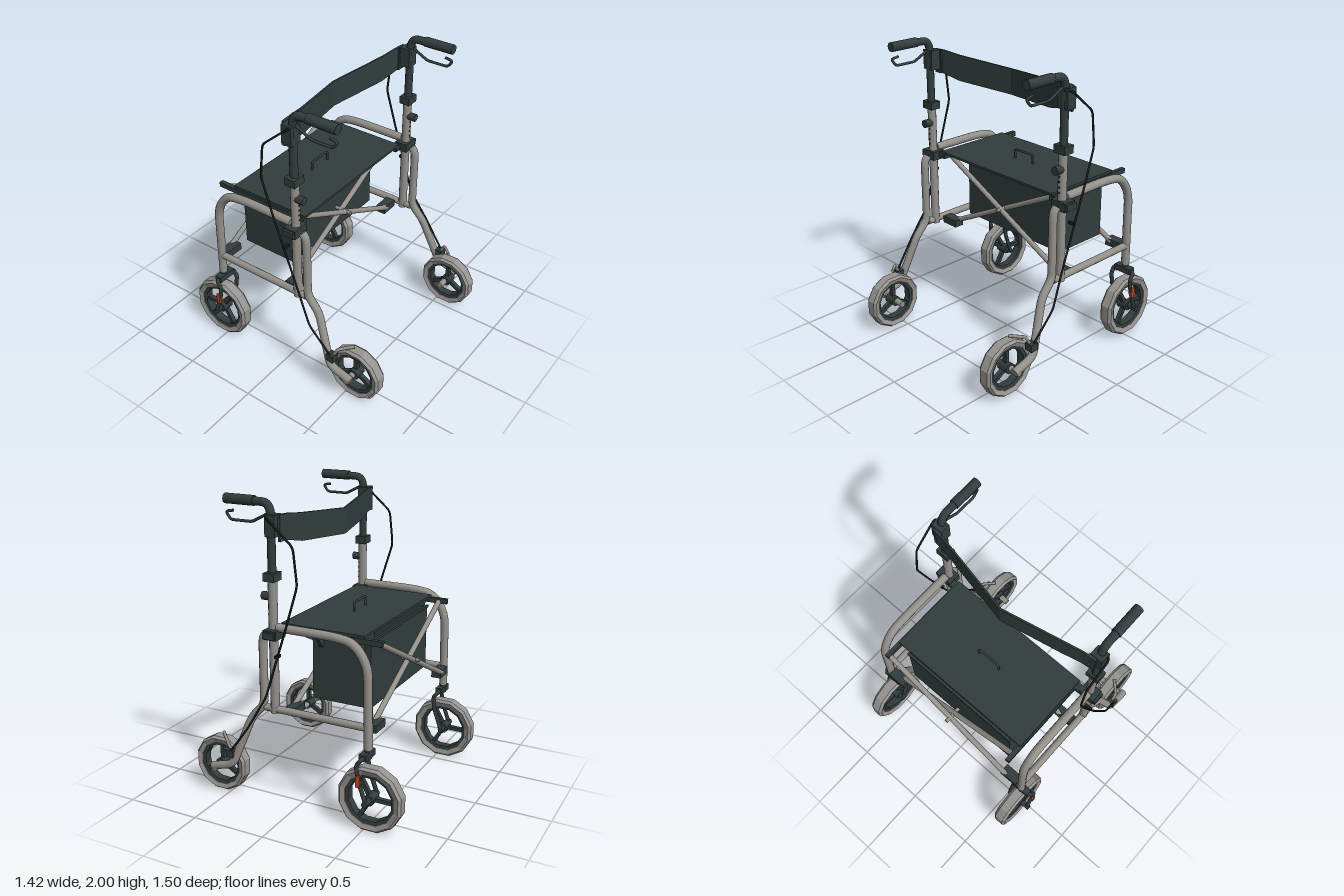
import * as THREE from 'three';
import { mergeGeometries } from 'three/addons/utils/BufferGeometryUtils.js';

const mat = (name, color, side = THREE.FrontSide) => {
  const m = new THREE.MeshStandardMaterial({ color, side });
  m.name = name;
  return m;
};

export function createModel() {
  const metal = mat('grey metal', 0x94918b);
  const tyreGrey = mat('tyre grey', 0x979591);
  const dark = mat('dark plastic', 0x323d3d, THREE.DoubleSide);
  const black = mat('cable black', 0x191d1e);
  const red = mat('red reflector', 0xc8451f);

  const model = new THREE.Group();
  model.name = 'rollator';

  const add = (name, geo, material, x = 0, y = 0, z = 0, parent = model) => {
    const mesh = new THREE.Mesh(geo, material);
    mesh.name = name;
    mesh.position.set(x, y, z);
    parent.add(mesh);
    return mesh;
  };
  const box = (name, material, [w, h, d], [x, y, z], parent) =>
    add(name, new THREE.BoxGeometry(w, h, d), material, x, y, z, parent);

  // Capped tube along a polyline whose corners are rounded by the given bend
  const tube = (name, material, points, r, bend = 0.03, parent = model, sides = 12) => {
    const p = points.map((a) => new THREE.Vector3(...a));
    const path = new THREE.CurvePath();
    let from = p[0];
    for (let i = 1; i < p.length - 1; i++) {
      const toward = (q) => {
        const d = q.clone().sub(p[i]);
        return d.clone().setLength(Math.min(bend, d.length() * 0.45)).add(p[i]);
      };
      const a = toward(p[i - 1]), b = toward(p[i + 1]);
      path.add(new THREE.LineCurve3(from, a));
      path.add(new THREE.QuadraticBezierCurve3(a, p[i], b));
      from = b;
    }
    path.add(new THREE.LineCurve3(from, p[p.length - 1]));
    const parts = [new THREE.TubeGeometry(path, p.length > 2 ? 14 * p.length : 1, r, sides)];
    for (const t of [0, 1]) {
      const cap = new THREE.CircleGeometry(r, sides);
      const dir = path.getTangentAt(t).multiplyScalar(t ? 1 : -1);
      cap.applyQuaternion(new THREE.Quaternion().setFromUnitVectors(new THREE.Vector3(0, 0, 1), dir));
      const e = path.getPointAt(t);
      cap.translate(e.x, e.y, e.z);
      parts.push(cap);
    }
    return add(name, mergeGeometries(parts), material, 0, 0, 0, parent);
  };

  // Faceted ring turned around the x axis from a closed (radius, x) profile
  const ring = (profile) => {
    const pts = [...profile, profile[0]].map(([r, x]) => new THREE.Vector2(r, x));
    const g = new THREE.LatheGeometry(pts, 12).toNonIndexed();
    g.computeVertexNormals();
    return g.rotateZ(-Math.PI / 2).rotateX(Math.PI / 12);
  };

  const wheel = (name, R, x, y, z, spokeStart) => {
    const g = new THREE.Group();
    g.name = name;
    g.position.set(x, y, z);
    model.add(g);
    const i = R * 0.78, h = 0.047;
    add('tyre', ring([[i, -0.036], [R * 0.93, -h], [R, -0.03], [R, 0.03], [R * 0.93, h], [i, 0.036]]), tyreGrey, 0, 0, 0, g);
    add('rim', ring([[i - 0.022, -0.027], [i + 0.006, -0.032], [i + 0.006, 0.032], [i - 0.022, 0.027]]), dark, 0, 0, 0, g);
    add('hub', new THREE.CylinderGeometry(0.036, 0.036, 0.08, 12).rotateZ(Math.PI / 2), dark, 0, 0, 0, g);
    for (let k = 0; k < 3; k++) {
      const spoke = new THREE.BoxGeometry(0.03, i - 0.01, 0.026).translate(0, (i - 0.01) / 2, 0);
      add('spoke', spoke, dark, 0, 0, 0, g).rotation.x = spokeStart + (k * Math.PI * 2) / 3;
    }
  };

  for (const s of [1, -1]) {
    const at = (x, y, z) => [s * x, y, z];

    // Handle, grip and brake lever
    tube('handlePost', dark, [at(0.61, 1.5, 0.13), at(0.61, 1.965, 0.13), at(0.61, 1.968, 0.26)], 0.026, 0.08);
    tube('grip', dark, [at(0.61, 1.969, 0.24), at(0.61, 1.969, 0.445)], 0.032);
    tube('brakeLever', dark, [at(0.61, 1.9, 0.39), at(0.61, 1.89, 0.445), at(0.61, 1.843, 0.41),
      at(0.61, 1.843, 0.26), at(0.61, 1.9, 0.15)], 0.009, 0.02, model, 8);
    box('backrestBracket', dark, [0.085, 0.13, 0.07], at(0.61, 1.835, 0.115));
    box('backrestEnd', dark, [0.06, 0.16, 0.016], at(0.59, 1.82, 0.07));

    // Adjustable post
    box('postCollar', dark, [0.092, 0.052, 0.075], at(0.61, 1.525, 0.13));
    tube('post', metal, [at(0.608, 1.51, 0.13), at(0.608, 0.65, 0.13)], 0.029);
    tube('heightKnob', dark, [at(0.608, 1.4, 0.14), at(0.608, 1.4, 0.2)], 0.027);
    for (let k = 0; k < 4; k++)
      tube('heightHole', dark, [at(0.608, 1.25 + k * 0.035, 0.15), at(0.608, 1.25 + k * 0.035, 0.162)], 0.007, 0, model, 8);

    // Side frame
    box('frameClamp', dark, [0.115, 0.06, 0.09], at(0.612, 1.17, 0.125));
    box('clampEnd', dark, [0.05, 0.042, 0.08], at(0.66, 1.17, 0.125));
    box('clampArm', dark, [0.08, 0.036, 0.05], at(0.535, 1.175, 0.1));
    tube('sideFrame', metal, [at(0.61, 1.21, 0.1), at(0.61, 1.21, -0.28), at(0.61, 1.19, -0.42),
      at(0.61, 1.06, -0.51), at(0.61, 0.54, -0.517)], 0.028, 0.09);
    tube('lowerBar', metal, [at(0.61, 0.675, 0.2), at(0.61, 0.675, -0.515)], 0.024);
    tube('frontLeg', metal, [at(0.61, 1.165, 0.18), at(0.61, 1.13, 0.208), at(0.61, 0.69, 0.208),
      at(0.615, 0.59, 0.30), at(0.668, 0.25, 0.425), at(0.668, 0.205, 0.585)], 0.027, 0.05);

    // Front wheel, axle and brake
    wheel('frontWheel', 0.193, s * 0.574, 0.2, 0.565, 0);
    tube('frontAxle', metal, [at(0.47, 0.2, 0.56), at(0.69, 0.2, 0.56)], 0.022);
    box('brakeBlock', dark, [0.055, 0.05, 0.055], at(0.665, 0.33, 0.435));
    tube('brakeArm', metal, [at(0.66, 0.33, 0.435), at(0.655, 0.405, 0.475), at(0.58, 0.415, 0.55)], 0.011, 0.02, model, 8);
    tube('brakeCable', black, [at(0.62, 1.885, 0.15), at(0.668, 1.885, 0.13), at(0.668, 1.73, -0.05),
      at(0.668, 1.5, -0.075), at(0.667, 1.24, 0.005), at(0.66, 0.76, 0.165), at(0.698, 0.54, 0.285),
      at(0.68, 0.35, 0.43)], 0.007, 0.03, model, 6);
    box('cableClip', black, [0.05, 0.018, 0.02], at(0.65, 1.04, 0.08));

    // Rear wheel and its fork
    wheel('rearWheel', 0.218, s * 0.606, 0.216, -0.54, -Math.PI / 2);
    tube('forkStem', dark, [at(0.61, 0.555, -0.517), at(0.61, 0.48, -0.517)], 0.022);
    box('forkCrown', dark, [0.13, 0.042, 0.05], at(0.61, 0.503, -0.51));
    for (const x of [0.53, 0.69])
      tube('forkArm', dark, [at(0.61, 0.505, -0.515), at(x, 0.5, -0.51), at(x, 0.455, -0.475),
        at(x, 0.36, -0.49), at(x, 0.218, -0.54)], 0.014, 0.025, model, 8);
    tube('rearAxle', dark, [at(0.525, 0.217, -0.54), at(0.71, 0.217, -0.54)], 0.019);
    box('reflector', red, [0.014, 0.075, 0.028], at(0.702, 0.36, -0.494));

    // Seat rail, bag straps and lower brackets
    box('seatRail', dark, [0.03, 0.034, 0.69], at(0.515, 1.178, -0.215));
    for (const z of [-0.11, -0.39]) {
      const strap = new THREE.Shape([[0.435, 1.15], [0.515, 1.17], [0.5, 1.14], [0.445, 1.07], [0.435, 1.07]]
        .map(([x, y]) => new THREE.Vector2(s * x, y)));
      add('bagStrap', new THREE.ExtrudeGeometry(strap, { depth: 0.026, bevelEnabled: false }), dark, 0, 0, z - 0.013);
    }
    for (const z of [0.04, -0.52]) box('lowerBracket', dark, [0.13, 0.05, 0.07], at(0.52, 0.662, z));
  }

  // Folding crosses, front and rear
  for (const [zA, zB] of [[0.06, 0.02], [-0.5, -0.54]]) {
    tube('crossBar', metal, [[-0.515, 1.175, zA], [0.5, 0.665, zA]], 0.018);
    tube('crossBar', metal, [[0.515, 1.175, zB], [-0.5, 0.665, zB]], 0.018);
    const mid = (zA + zB) / 2;
    tube('crossPivot', metal, [[0, 0.92, mid - 0.06], [0, 0.92, mid + 0.06]], 0.013);
  }

  // Seat with its lifting handle
  box('seat', dark, [1.04, 0.016, 0.572], [0, 1.203, -0.155]);
  tube('seatHandle', dark, [[-0.083, 1.205, -0.152], [-0.083, 1.27, -0.152], [0.083, 1.27, -0.152],
    [0.083, 1.205, -0.152]], 0.008, 0.015, model, 8);

  // Bag: four walls and a floor, open at the top
  const bag = new THREE.Group();
  bag.name = 'bag';
  model.add(bag);
  for (const s of [1, -1]) {
    box('bagSide', dark, [0.012, 0.43, 0.4], [s * 0.43, 0.935, -0.245], bag);
    box('bagPanel', dark, [0.872, 0.43, 0.012], [0, 0.935, -0.245 + s * 0.194], bag);
    box('bagRim', dark, [0.88, 0.016, 0.018], [0, 1.152, -0.245 + s * 0.2], bag);
  }
  box('bagFloor', dark, [0.872, 0.012, 0.4], [0, 0.726, -0.245], bag);

  // Backrest band: [x, z, bottom, top] sections joined into a thin strip
  const sections = [[-0.6, 0.065, 1.745, 1.9], [-0.54, 0.062, 1.74, 1.9], [-0.41, 0.04, 1.712, 1.885],
    [0, -0.038, 1.69, 1.858], [0.41, 0.04, 1.712, 1.885], [0.54, 0.062, 1.74, 1.9], [0.6, 0.065, 1.745, 1.9]];
  const pos = [];
  const quad = (a, b, c, d) => pos.push(...a, ...b, ...c, ...a, ...c, ...d);
  const corners = ([x, z, lo, hi]) => [[x, lo, z + 0.006], [x, hi, z + 0.006], [x, hi, z - 0.006], [x, lo, z - 0.006]];
  for (let i = 0; i < sections.length - 1; i++) {
    const a = corners(sections[i]), b = corners(sections[i + 1]);
    for (let k = 0; k < 4; k++) quad(a[k], b[k], b[(k + 1) % 4], a[(k + 1) % 4]);
  }
  const band = new THREE.BufferGeometry();
  band.setAttribute('position', new THREE.Float32BufferAttribute(pos, 3));
  band.computeVertexNormals();
  add('backrest', band, dark);

  return model;
}
